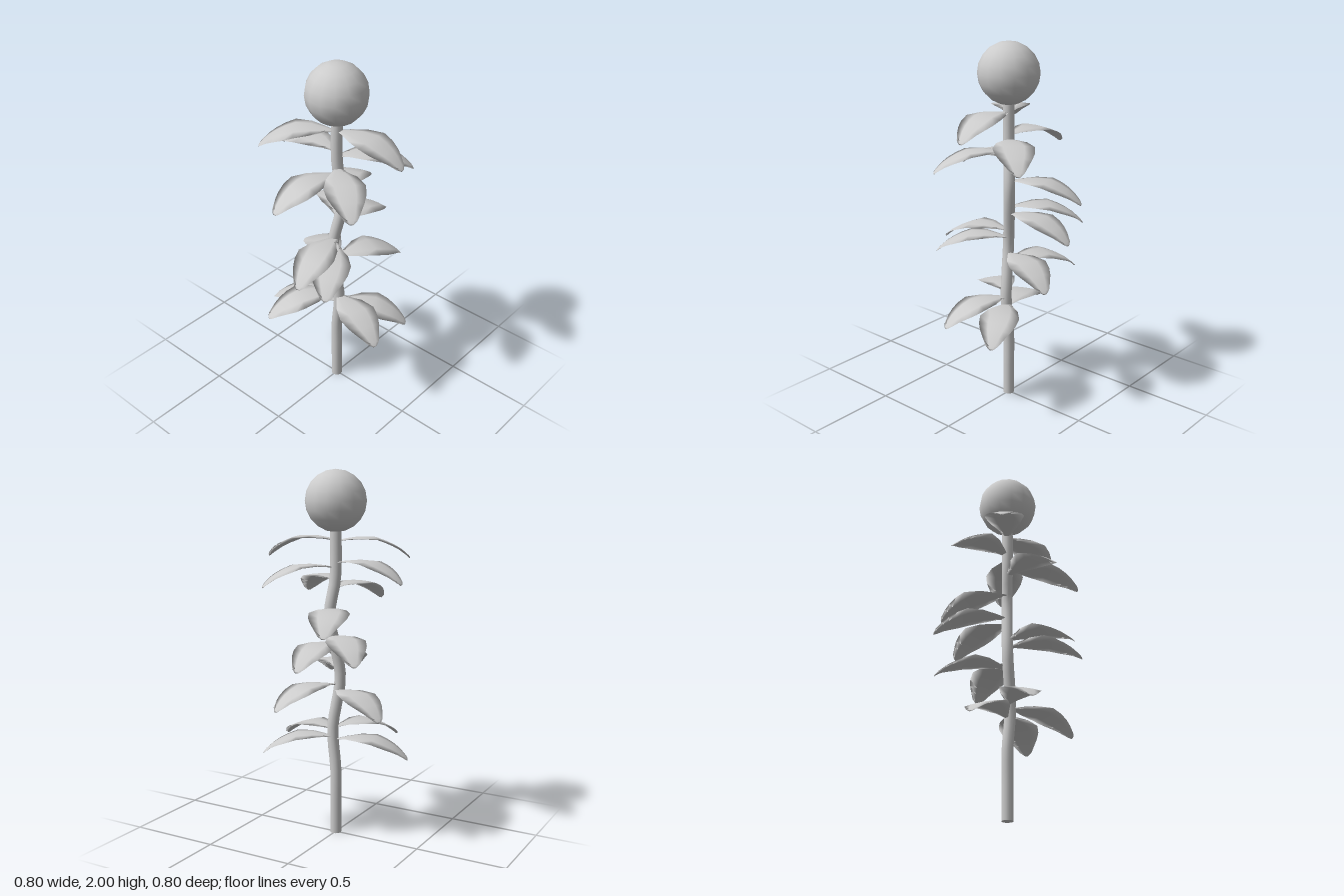
import * as THREE from 'three';

const material = new THREE.MeshStandardMaterial({ color: 0xcccccc, side: THREE.DoubleSide });

// Cross-sections along the leaf: distance from axis, midrib height, half width
const SECTIONS = [
  [0.005, -0.02, 0.008], [0.06, -0.009, 0.038], [0.13, -0.001, 0.08],
  [0.215, -0.004, 0.108], [0.27, -0.024, 0.1], [0.315, -0.045, 0.081],
  [0.35, -0.066, 0.06], [0.388, -0.098, 0.033], [0.4, -0.112, 0.014],
];

// Thin arched leaf along +x: closed loops of a slightly domed section
function leafGeometry() {
  const across = [-1, -0.5, 0, 0.5, 1];
  const positions = [];
  const index = [];
  const loop = 8;
  for (const [r, y, w] of SECTIONS) {
    const t = 0.014 * Math.min(1, 0.4 + w * 6);
    const top = across.map((s) => [r, y - 0.009 * s * s * Math.min(1, w * 10), s * w]);
    const under = [0.5, 0, -0.5].map((s) => [r, y - t, s * w]);
    for (const p of [...top, ...under]) positions.push(...p);
  }
  for (let i = 0; i < SECTIONS.length - 1; i++) {
    for (let j = 0; j < loop; j++) {
      const a = i * loop + j;
      const b = i * loop + ((j + 1) % loop);
      index.push(a, b, a + loop, b, b + loop, a + loop);
    }
  }
  // End caps
  const last = (SECTIONS.length - 1) * loop;
  for (let j = 1; j < loop - 1; j++) {
    index.push(0, j + 1, j, last, last + j, last + j + 1);
  }
  const g = new THREE.BufferGeometry();
  g.setAttribute('position', new THREE.Float32BufferAttribute(positions, 3));
  g.setIndex(index);
  g.computeVertexNormals();
  return g;
}

// Leaves: height, tip x, tip z (direction only)
const LEAVES = [
  [1.655, 0.4, -0.03], [1.65, -0.32, 0.25], [1.535, -0.4, -0.03],
  [1.51, 0.27, -0.29], [1.44, 0.32, 0.25], [1.405, -0.07, 0.4],
  [1.285, -0.14, -0.375], [1.14, -0.27, -0.29], [1.105, 0, -0.4],
  [1.005, 0.08, 0.4], [0.965, 0.22, 0.34], [0.875, 0.15, -0.37],
  [0.84, -0.35, -0.18], [0.635, -0.2, 0.34], [0.615, 0.38, 0.12],
  [0.575, 0.35, -0.18], [0.565, -0.38, 0.11],
];

export function createModel() {
  const model = new THREE.Group();
  const add = (name, geometry, parent = model) => {
    const mesh = new THREE.Mesh(geometry, material);
    mesh.name = name;
    parent.add(mesh);
    return mesh;
  };

  // Gently winding stem
  const path = new THREE.CatmullRomCurve3([
    [0, 0, 0], [0, 0.18, 0], [0, 0.37, 0], [0.02, 0.6, 0.002], [-0.018, 0.9, 0.017],
    [0.024, 1.23, -0.025], [0.002, 1.43, -0.002], [0, 1.7, 0],
  ].map((p) => new THREE.Vector3(...p)), false, 'centripetal');
  add('stem', new THREE.TubeGeometry(path, 28, 0.031, 12));
  add('stemBase', new THREE.CircleGeometry(0.031, 12)).rotation.x = Math.PI / 2;

  // Round flower head
  add('flowerHead', new THREE.SphereGeometry(0.1635, 14, 10)).position.y = 1.8365;

  // Leaves staggered around the stem
  const leaves = new THREE.Group();
  leaves.name = 'leaves';
  model.add(leaves);
  const geometry = leafGeometry();
  for (const [y, x, z] of LEAVES) {
    const leaf = add('leaf', geometry, leaves);
    leaf.position.y = y;
    leaf.rotation.y = Math.atan2(-z, x);
  }
  return model;
}
